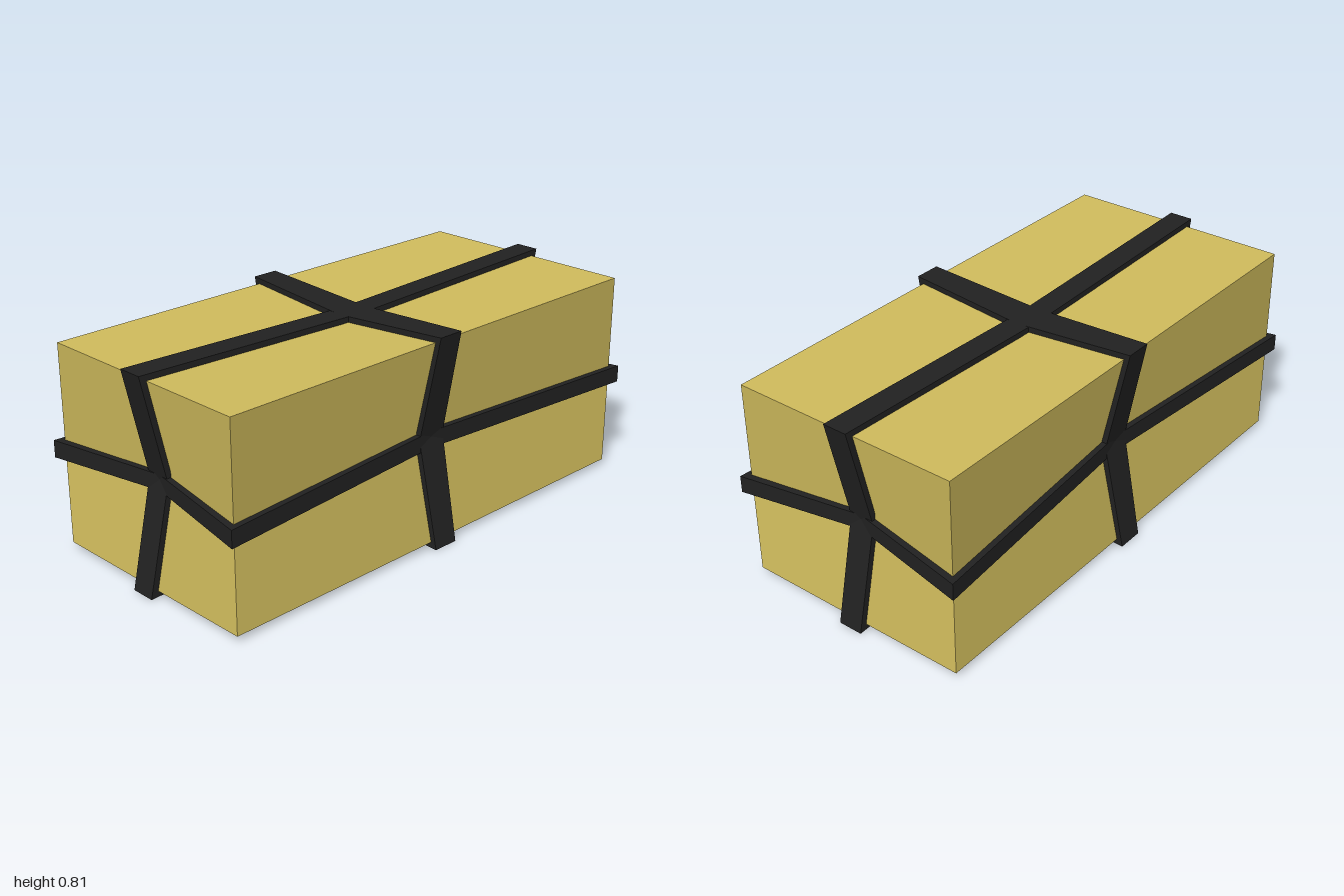
import * as THREE from 'three';

const MID_Y = 0.411;
const HALF = [0.455, 0.384, 0.97];   // parcel half sizes in x, y, z
const DENT = [0.08, 0.03, 0.085];    // how far the middle of each face sinks

function meshFrom(name, positions, normals, material) {
  const geo = new THREE.BufferGeometry();
  geo.setAttribute('position', new THREE.Float32BufferAttribute(positions, 3));
  if (normals) geo.setAttribute('normal', new THREE.Float32BufferAttribute(normals, 3));
  else geo.computeVertexNormals();
  const mesh = new THREE.Mesh(geo, material);
  mesh.name = name;
  return mesh;
}

// Parcel: each face is four quads sinking towards its centre, each evenly shaded
function makeParcel(material) {
  const pos = [], nor = [];
  for (let axis = 0; axis < 3; axis++) {
    const u = (axis + 1) % 3, v = (axis + 2) % 3;
    for (const s of [-1, 1]) for (const su of [-1, 1]) for (const sv of [-1, 1]) {
      const point = (a, b) => {
        const p = [0, 0, 0];
        p[axis] = s * (HALF[axis] - (a || b ? 0 : DENT[axis]));
        p[u] = a * su * HALF[u];
        p[v] = b * sv * HALF[v];
        return new THREE.Vector3(p[0], p[1] + MID_Y, p[2]);
      };
      const quad = [point(0, 0), point(1, 0), point(1, 1), point(0, 1)];
      if (s * su * sv < 0) quad.reverse();
      const n = quad[2].clone().sub(quad[0]).cross(quad[3].clone().sub(quad[1])).normalize();
      // Split from the centre of the face to its corner
      const order = s * su * sv < 0 ? [0, 1, 3, 1, 2, 3] : [0, 1, 2, 0, 2, 3];
      for (const i of order) {
        pos.push(...quad[i].toArray());
        nor.push(n.x, n.y, n.z);
      }
    }
  }
  return meshFrom('parcel', pos, nor, material);
}

// Strap: closed band through eight stations (corners and sunken face middles).
// p, q lie in the plane of the loop; w is across the band.
function makeStrap(name, { p, q, dipP, dipQ, corner, midP, midQ, shift = 0 }, place, material) {
  const T = 0.034; // thickness, inner side buried in the parcel
  const ring = [[1, 0], [1, 1], [0, 1], [-1, 1], [-1, 0], [-1, -1], [0, -1], [1, -1]];
  const sections = ring.map(([a, b]) => {
    const op = a * (b ? p : p - dipP), oq = b * (a ? q : q - dipQ);
    const ip = op - a * T, iq = oq - b * T;
    const w = a && b ? corner : a ? midP : midQ;
    return [[op, oq, -w], [op, oq, w], [ip, iq, w], [ip, iq, -w]]
      .map(([x, y, z]) => place(x, y, z + shift));
  });
  const pos = [];
  sections.forEach((here, i) => {
    const next = sections[(i + 1) % sections.length];
    for (let k = 0; k < 4; k++) {
      const j = (k + 1) % 4;
      pos.push(...here[k], ...next[k], ...next[j], ...here[k], ...next[j], ...here[j]);
    }
  });
  return meshFrom(name, pos, null, material);
}

export function createModel() {
  const group = new THREE.Group();
  group.name = 'strappedParcel';
  const paper = new THREE.MeshStandardMaterial({ color: 0xcfbb5c });
  const band = new THREE.MeshStandardMaterial({ color: 0x212121, flatShading: true });

  group.add(makeParcel(paper));

  // Lengthwise band over top, front, bottom and back
  group.add(makeStrap('lengthwiseStrap',
    { p: 0.407, q: 1, dipP: 0.031, dipQ: 0.093, corner: 0.048, midP: 0.048, midQ: 0.05, shift: -0.005 },
    (y, z, x) => [x, y + MID_Y, z], band));

  // Crosswise band over top, sides and bottom, wider where bands cross
  group.add(makeStrap('crosswiseStrap',
    { p: 0.48, q: 0.407, dipP: 0.083, dipQ: 0.031, corner: 0.052, midP: 0.06, midQ: 0.067 },
    (x, y, z) => [x, y + MID_Y, z], band));

  // Horizontal band around the four walls
  group.add(makeStrap('horizontalStrap',
    { p: 1, q: 0.48, dipP: 0.093, dipQ: 0.083, corner: 0.033, midP: 0.03, midQ: 0.032, shift: 0.398 },
    (z, x, y) => [x, y, z], band));

  return group;
}
